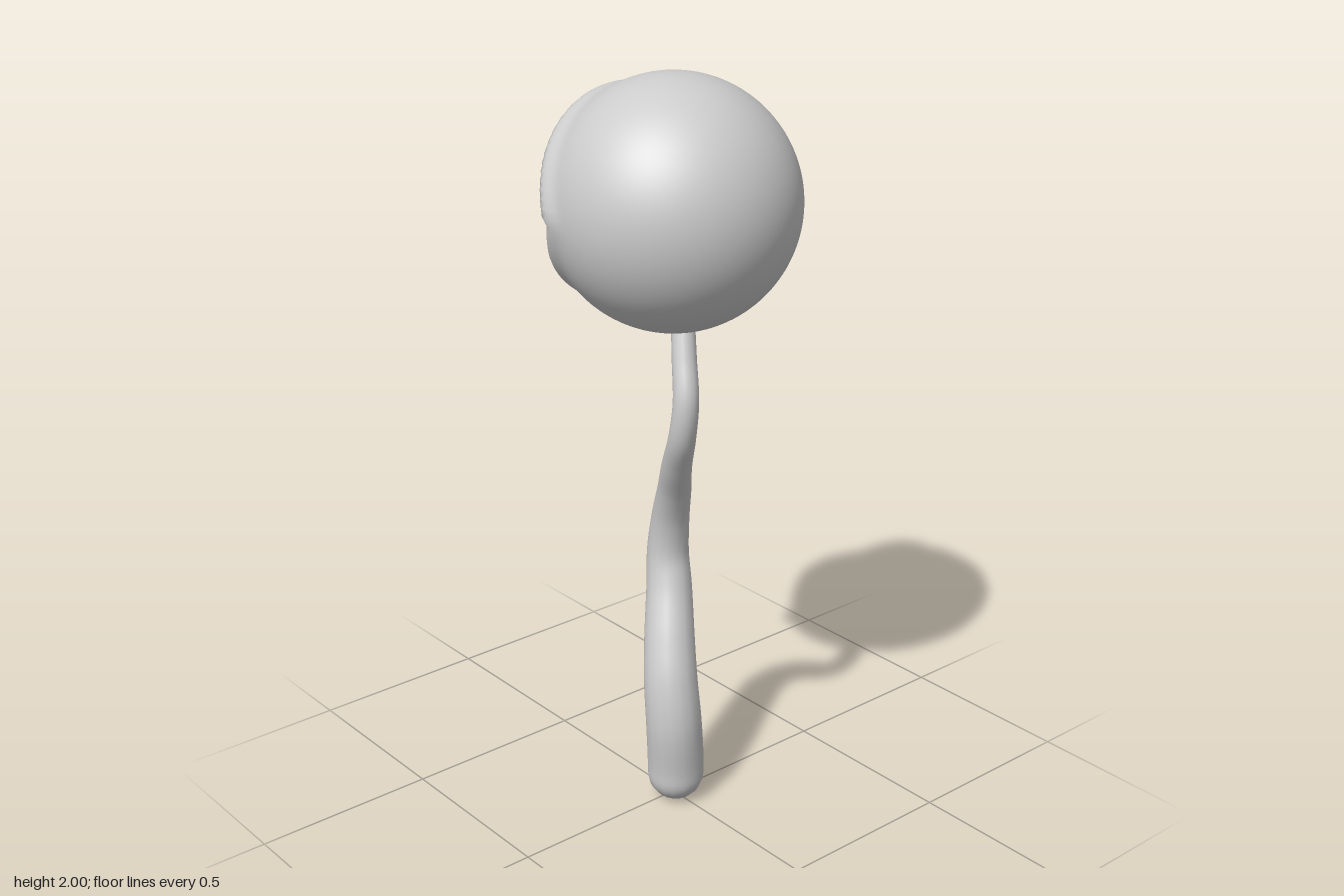
import * as THREE from 'three';
import { mergeVertices } from 'three/addons/utils/BufferGeometryUtils.js';

const material = new THREE.MeshStandardMaterial({ color: 0xcccccc });
const smooth = THREE.MathUtils.smoothstep;
const V = (x, y, z) => new THREE.Vector3(x, y, z);

// Weld seams so that the normals run smoothly over the whole surface
function weld(geometry) {
  geometry.deleteAttribute('uv');
  geometry.deleteAttribute('normal');
  const welded = mergeVertices(geometry, 1e-5);
  welded.computeVertexNormals();
  return welded;
}

// Eyeball facing -z: lids, recessed opening, bulging cornea and pupil dimple
function eyeRadius(d) {
  const upper = d.y * 0.42 + d.z * 0.907 + 0.306;
  const lower = -d.y * 0.4 + d.z * 0.917 + 0.26;
  const f = Math.max(upper, lower); // above 0 on the lids, below 0 in the opening
  const rim = upper > lower ? 0.022 : 0.013;
  const lid = 0.32 + rim * Math.exp(-Math.pow((f - 0.05) / 0.09, 2));
  const angle = d.angleTo(V(0, -0.08, -1).normalize());
  const cornea = 0.297 + 0.026 * (1 - smooth(angle, 0.1, 0.65));
  const pupil = 0.035 * (1 - smooth(angle, 0.03, 0.14));
  return THREE.MathUtils.lerp(cornea - pupil, lid, smooth(f, -0.07, 0.035));
}

function makeEyeball() {
  const geometry = new THREE.SphereGeometry(1, 96, 100);
  geometry.rotateX(-Math.PI / 2); // a pole, where vertices are densest, at the pupil
  const pos = geometry.attributes.position;
  const d = V(0, 0, 0);
  for (let i = 0; i < pos.count; i++) {
    d.fromBufferAttribute(pos, i).normalize();
    d.multiplyScalar(eyeRadius(d));
    pos.setXYZ(i, d.x, d.y, d.z);
  }
  const mesh = new THREE.Mesh(weld(geometry), material);
  mesh.name = 'eyeball';
  mesh.position.y = 1.68;
  return mesh;
}

// Winding stalk, tapering upward, with a rounded lower end
function makeStalk() {
  const path = new THREE.CatmullRomCurve3([
    V(-0.008, 0, 0.015), V(-0.008, 0.1, 0.019), V(-0.022, 0.25, 0.027),
    V(-0.018, 0.36, 0.01), V(0.003, 0.46, -0.02), V(0.042, 0.6, -0.068),
    V(0.053, 0.69, -0.086), V(0.047, 0.8, -0.068), V(0.024, 0.9, -0.025),
    V(-0.015, 1.0, 0.032), V(-0.045, 1.1, 0.088), V(-0.047, 1.2, 0.104),
    V(-0.028, 1.3, 0.075), V(-0.006, 1.4, 0.043),
  ]);
  const rings = 100, sides = 16, cap = 0.075;
  const length = path.getLength();
  const geometry = new THREE.TubeGeometry(path, rings, 1, sides);
  const { position, normal } = geometry.attributes;
  const n = V(0, 0, 0);
  for (let i = 0; i <= rings; i++) {
    const t = i / rings;
    const centre = path.getPointAt(t);
    const toCap = Math.max(0, 1 - (t * length) / cap);
    const taper = 0.076 - 0.042 * smooth(t, 0.05, 0.85) - 0.004 * t;
    const bulge = 0.006 * Math.sin(Math.PI * t);
    const r = (taper + bulge) * Math.sqrt(1 - toCap * toCap);
    for (let j = 0; j <= sides; j++) {
      const k = i * (sides + 1) + j;
      n.fromBufferAttribute(normal, k).multiplyScalar(r).add(centre);
      position.setXYZ(k, n.x, n.y, n.z);
    }
  }
  const mesh = new THREE.Mesh(weld(geometry), material);
  mesh.name = 'stalk';
  return mesh;
}

export function createModel() {
  const group = new THREE.Group();
  group.name = 'eyeStalk';
  group.add(makeEyeball(), makeStalk());
  return group;
}
